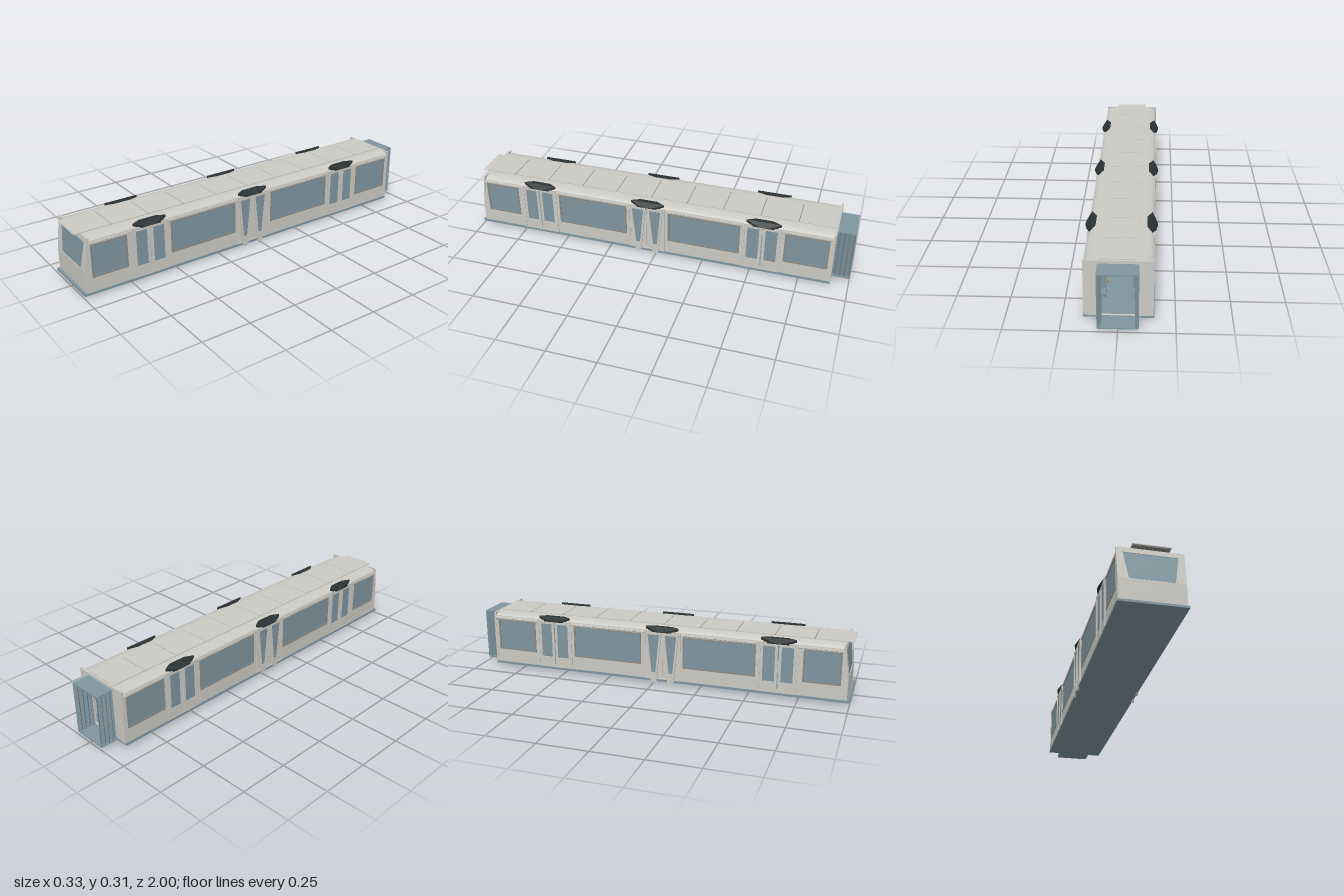
import * as THREE from 'three';
import { toCreasedNormals } from 'three/addons/utils/BufferGeometryUtils.js';
import { ConvexGeometry } from 'three/addons/geometries/ConvexGeometry.js';

const mat = (name, color) => {
  const m = new THREE.MeshStandardMaterial({ color });
  m.name = name;
  return m;
};

export function createModel() {
  const paint = mat('warm grey paint', 0xcbcac4);
  const blue = mat('blue grey', 0x7f95a0);
  const frameGrey = mat('window seal grey', 0x8b8b86);
  const black = mat('black', 0x2b3233);
  const yellow = mat('handrail yellow', 0xd9b13a);

  const model = new THREE.Group();
  model.name = 'railCar';

  const add = (name, geo, material) => {
    const m = new THREE.Mesh(geo, material);
    m.name = name;
    model.add(m);
    return m;
  };
  // Box given by its limits
  const box = (name, x0, x1, y0, y1, z0, z1, material) =>
    add(name, new THREE.BoxGeometry(x1 - x0, y1 - y0, z1 - z0)
      .translate((x0 + x1) / 2, (y0 + y1) / 2, (z0 + z1) / 2), material);
  const poly = (pts) => new THREE.Shape(pts.map(([x, y]) => new THREE.Vector2(x, y)));
  const rect = (a, b, c, d) => [[a, c], [b, c], [b, d], [a, d]];
  const extrude = (outer, holes, depth) => {
    const s = poly(outer);
    s.holes = holes.map(poly);
    return new THREE.ExtrudeGeometry(s, { depth, bevelEnabled: false });
  };
  // Plate drawn in (z, y) and set on the side of the car with its outer face at |x|
  const sidePlate = (name, side, x, depth, outer, holes, material) =>
    add(name, extrude(outer, holes, depth).rotateY(-Math.PI / 2)
      .translate(side > 0 ? x : depth - x, 0, 0), material);

  // Floor
  box('floor', -0.156, 0.156, 0.014, 0.025, -0.91, 1.0, blue);

  // Side walls, windows and doors
  const windows = [[0.77, 0.95], [0.16, 0.53], [-0.44, -0.07], [-0.885, -0.67]];
  const doors = [0.645, 0.048, -0.555];
  const wallOutline = [[-0.905, 0.025], [0.985, 0.025], [0.985, 0.135], [0.966, 0.285], [-0.905, 0.285]];
  for (const s of [1, -1]) {
    const holes = [
      ...windows.map(([a, b]) => rect(a, b, 0.1, 0.262)),
      ...doors.map((z) => rect(z - 0.085, z + 0.085, 0.04, 0.27)),
    ];
    sidePlate('sideWall', s, 0.151, 0.008, wallOutline, holes, paint);

    for (const [a, b] of windows) {
      sidePlate('windowSeal', s, 0.153, 0.008, rect(a - 0.003, b + 0.003, 0.097, 0.265),
        [rect(a + 0.005, b - 0.005, 0.105, 0.257)], frameGrey);
      sidePlate('sideWindow', s, 0.15, 0.004, rect(a, b, 0.1, 0.262), [], blue);
    }

    doors.forEach((zc, i) => {
      // Door surround
      sidePlate('doorFrame', s, 0.155, 0.012, rect(zc - 0.097, zc + 0.097, 0.025, 0.285),
        [rect(zc - 0.09, zc + 0.09, 0.03, 0.278)], paint);
      for (const d of [-1, 1]) {
        const c = zc + d * 0.046;
        if (i === 1) {
          // Centre leaves taper to a point below the floor
          sidePlate('centreDoorPanel', s, 0.15, 0.004, rect(c - 0.045, c + 0.045, 0.025, 0.28), [], paint);
          const pane = [[c - 0.01, 0.06], [c + 0.01, 0.06], [c + 0.031, 0.265], [c - 0.031, 0.265]];
          sidePlate('centreDoorLeaf', s, 0.157, 0.007,
            [[c - 0.016, 0.012], [c, 0], [c + 0.016, 0.012], [c + 0.042, 0.28], [c - 0.042, 0.28]],
            [pane], paint);
          sidePlate('centreDoorWindow', s, 0.154, 0.003, pane, [], blue);
        } else {
          const pane = rect(c - 0.03, c + 0.03, 0.082, 0.265);
          sidePlate('doorLeaf', s, 0.154, 0.008, rect(c - 0.043, c + 0.043, 0.028, 0.28), [pane], paint);
          sidePlate('doorWindow', s, 0.151, 0.004, pane, [], blue);
        }
      }
      // Pointed black fairing above each door
      const pts = [];
      for (const [x, y, h] of [[0.118, 0.298, 0.045], [0.118, 0.303, 0.045], [0.142, 0.304, 0.088],
        [0.142, 0.28, 0.088], [0.155, 0.294, 0.055], [0.155, 0.278, 0.055], [0.167, 0.285, 0.012]])
        for (const d of [-1, 1]) pts.push(new THREE.Vector3(s * x, y, zc - 0.003 + d * h));
      add('doorFairing', new ConvexGeometry(pts), black);
    });
  }

  // Roof shell with rounded shoulders
  const shoulder = [[0.153, 0.27], [0.152, 0.28], [0.147, 0.288], [0.138, 0.294], [0.122, 0.299], [0.1, 0.302], [0.085, 0.302]];
  const inner = shoulder.map(([x, y]) => [x - 0.005, y - 0.006]);
  const mirror = (pts) => pts.map(([x, y]) => [-x, y]).reverse();
  const roofSection = [...shoulder, ...mirror(shoulder), ...mirror(inner).reverse(), ...inner.slice().reverse()];
  add('roofShell', toCreasedNormals(extrude(roofSection, [], 1.87).translate(0, 0, -0.905), 0.6), paint);

  // Flat roof panels with narrow seams
  const seams = [-0.905, -0.72, -0.53, -0.34, -0.15, 0.04, 0.23, 0.42, 0.615, 0.81, 1.0];
  for (let i = 0; i < seams.length - 1; i++)
    box('roofPanel', -0.087, 0.087, 0.302, 0.306, seams[i] + 0.002, seams[i + 1] - 0.002, paint);
  box('roofSeamBacking', -0.085, 0.085, 0.301, 0.303, -0.9, 0.99, frameGrey);

  // Cab front: upright lower panel, raked screen above
  const rake = (geo) => {
    const p = geo.attributes.position;
    for (let i = 0; i < p.count; i++) p.setZ(i, p.getZ(i) + 0.977 - (p.getY(i) - 0.135) * 0.13);
    geo.computeVertexNormals();
    return geo;
  };
  const screen = [[-0.102, 0.136], [0.102, 0.136], [0.124, 0.275], [-0.124, 0.275]];
  box('frontPanel', -0.151, 0.151, 0.026, 0.135, 0.977, 0.987, paint);
  add('windscreenFrame', rake(extrude(
    [[-0.151, 0.134], [0.151, 0.134], [0.153, 0.302], [-0.153, 0.302]], [screen], 0.01)), paint);
  add('windscreen', rake(extrude(screen, [], 0.007)), blue);

  // Rear wall with open passage
  add('rearWall', extrude(rect(-0.153, 0.153, 0.025, 0.302), [rect(-0.078, 0.078, 0.026, 0.275)], 0.01)
    .translate(0, 0, -0.912), paint);

  // Folding gangway
  box('gangwayFloor', -0.09, 0.09, 0.016, 0.022, -1.0, -0.905, blue);
  box('gangwayRoof', -0.09, 0.09, 0.281, 0.287, -1.0, -0.905, blue);
  const folds = [];
  for (let i = 0; i <= 8; i++) folds.push([i % 2 ? 0.077 : 0.09, 0.908 + i * 0.0115]);
  for (const s of [1, -1]) {
    const outer = folds.map(([x, z]) => [s * x, z]);
    const back = folds.map(([x, z]) => [s * (x - 0.004), z]).reverse();
    add('gangwayBellows', extrude([...outer, ...back], [], 0.262).rotateX(-Math.PI / 2).translate(0, 0.02, 0), blue);
  }

  // Seats and handrails
  for (const s of [1, -1]) {
    for (const z of [-0.8, -0.72, -0.38, -0.26, -0.14, 0.22, 0.34, 0.46, 0.8]) {
      const x0 = s > 0 ? 0.06 : -0.135;
      box('seatCushion', x0, x0 + 0.075, 0.065, 0.08, z - 0.03, z + 0.03, blue);
      box('seatBack', x0, x0 + 0.075, 0.08, 0.15, z + 0.022, z + 0.032, blue);
      box('seatBase', x0 + 0.025, x0 + 0.05, 0.025, 0.065, z - 0.015, z + 0.015, black);
    }
    add('handrail', new THREE.CylinderGeometry(0.003, 0.003, 1.7, 8)
      .rotateX(Math.PI / 2).translate(s * 0.06, 0.25, 0), yellow);
    for (const z of doors) for (const d of [-0.1, 0.1])
      add('pole', new THREE.CylinderGeometry(0.003, 0.003, 0.27, 8).translate(s * 0.06, 0.16, z + d), yellow);
  }
  return model;
}
